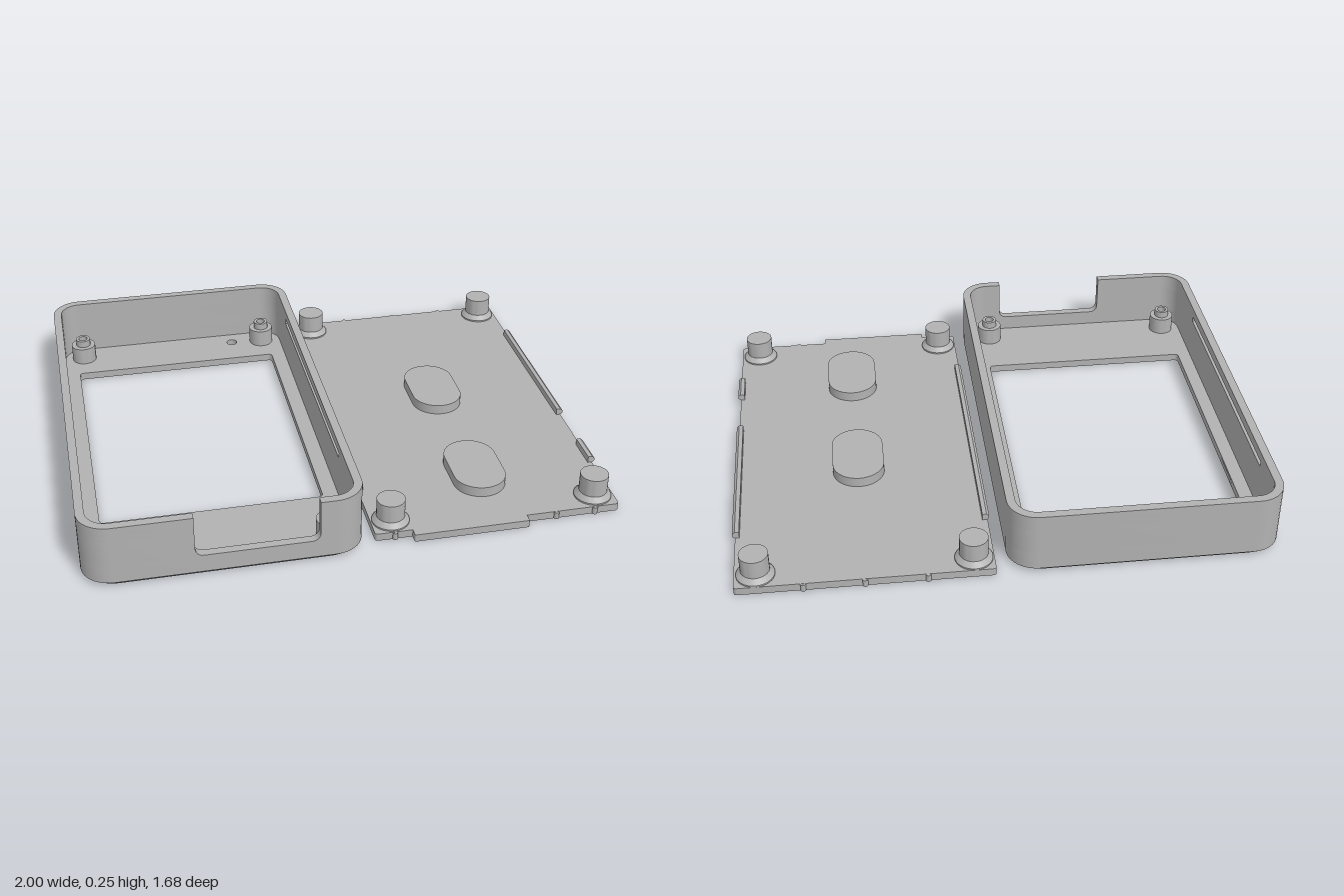
import * as THREE from 'three';
import { toCreasedNormals } from 'three/addons/utils/BufferGeometryUtils.js';

const plastic = new THREE.MeshStandardMaterial({ color: 0xb2b2b2 });
plastic.name = 'greyPlastic';

const V = (x, z) => new THREE.Vector2(x, -z); // plan view point
const ARC = 10;

// Counter-clockwise rounded rectangle in plan, starting at the front right corner
function roundedRect(x0, x1, z0, z1, r) {
  const corners = [[x1 - r, z1 - r], [x1 - r, z0 + r], [x0 + r, z0 + r], [x0 + r, z1 - r]];
  const pts = [];
  corners.forEach(([cx, cz], i) => {
    for (let k = 0; k <= ARC; k++) {
      const a = (i - 1 + k / ARC) * Math.PI / 2;
      pts.push(V(cx + r * Math.cos(a), cz - r * Math.sin(a)));
    }
  });
  return pts;
}

function circle(x, z, r, n = 28) {
  return Array.from({ length: n }, (_, i) => {
    const a = i / n * Math.PI * 2;
    return V(x + r * Math.cos(a), z + r * Math.sin(a));
  });
}

// Plan outline raised from y0 to y1
function slab(outline, holes, y0, y1) {
  const shape = new THREE.Shape(outline);
  holes.forEach(h => shape.holes.push(new THREE.Path(h)));
  const g = new THREE.ExtrudeGeometry(shape, { depth: y1 - y0, bevelEnabled: false });
  return g.rotateX(-Math.PI / 2).translate(0, y0, 0);
}

function add(group, name, geometry, x = 0, y = 0, z = 0) {
  const mesh = new THREE.Mesh(toCreasedNormals(geometry, 0.5), plastic);
  mesh.name = name;
  mesh.position.set(x, y, z);
  group.add(mesh);
}

const lathe = pts => new THREE.LatheGeometry(pts.map(p => new THREE.Vector2(...p)), 32);

function createCase() {
  const g = new THREE.Group();
  g.name = 'caseShell';
  const X0 = -1, X1 = 0.01, Z0 = -0.84, Z1 = 0.835, T = 0.032;
  const cx = (X0 + X1) / 2, cz = (Z0 + Z1) / 2, hx = (X1 - X0) / 2, hz = (Z1 - Z0) / 2;
  const outer = roundedRect(X0, X1, Z0, Z1, 0.11);
  const inner = roundedRect(X0 + T, X1 - T, Z0 + T, Z1 - T, 0.078);
  const openings = [roundedRect(-0.915, -0.08, -0.6, 0.495, 0.015), circle(-0.235, -0.74, 0.022)];

  // Face panel with a chamfered lower edge
  const chamfer = slab(outer, openings, 0, 0.02);
  const p = chamfer.attributes.position;
  for (let i = 0; i < p.count; i++) {
    const dx = p.getX(i) - cx, dz = p.getZ(i) - cz;
    if (p.getY(i) < 0.001 && (Math.abs(dx) > 0.45 || Math.abs(dz) > 0.78)) {
      p.setX(i, cx + dx * (1 - 0.02 / hx));
      p.setZ(i, cz + dz * (1 - 0.02 / hz));
    }
  }
  add(g, 'facePanelChamfer', chamfer);
  add(g, 'facePanel', slab(outer, openings, 0.02, 0.03));

  // Walls, open at the front notch, with a groove along both inner sides
  const N0 = -0.605, N1 = -0.16, notchY = 0.09;
  const grooved = inner.slice();
  const a = -0.565, b = 0.495, depth = 0.015;
  const cut = (x, s, zs, ze) => [V(x, zs), V(x + s * depth, zs), V(x + s * depth, ze), V(x, ze)];
  grooved.splice(3 * (ARC + 1), 0, ...cut(X0 + T, -1, a, b));
  grooved.splice(ARC + 1, 0, ...cut(X1 - T, 1, b, a));
  const openRing = ring => [V(N1, Z1), ...outer, V(N0, Z1), V(N0, Z1 - T), ...ring.slice().reverse(), V(N1, Z1 - T)];
  add(g, 'lowerWall', slab(outer, [inner], 0.03, notchY));
  add(g, 'middleWall', slab(openRing(inner), [], notchY, 0.195));
  add(g, 'groovedWall', slab(openRing(grooved), [], 0.195, 0.217));
  add(g, 'upperWall', slab(openRing(inner), [], 0.217, 0.253));

  // Rounded lower corners of the notch
  const r = 0.03;
  for (const [x, s] of [[N0, 1], [N1, -1]]) {
    const f = new THREE.Shape();
    f.moveTo(x, notchY);
    f.lineTo(x + s * r, notchY);
    for (let k = 1; k <= 6; k++) {
      const t = k / 6 * Math.PI / 2;
      f.lineTo(x + s * r * (1 - Math.sin(t)), notchY + r * (1 - Math.cos(t)));
    }
    add(g, 'notchFillet', new THREE.ExtrudeGeometry(f, { depth: T, bevelEnabled: false }), 0, 0, Z1 - T);
  }

  // Hollow stepped screw bosses
  const boss = [[0.05, 0.03], [0.05, 0.1], [0.03, 0.1], [0.03, 0.128], [0.018, 0.128], [0.018, 0.03]];
  for (const x of [-0.887, -0.105]) for (const z of [-0.73, 0.725]) add(g, 'screwBoss', lathe(boss), x, 0, z);
  return g;
}

function createBackPlate() {
  const g = new THREE.Group();
  g.name = 'backPlate';
  const X0 = 0.055, X1 = 0.99, Z0 = -0.835, Z1 = 0.765, H = 0.03;
  const padX = 0.52, padZ = [-0.135, 0.458];

  // Keyhole: round entry towards the front, narrow slot towards the back
  const keyhole = cz => {
    const pts = [], R = 0.055, w = 0.026, start = Math.asin(w / R);
    for (let k = 0; k <= 24; k++) {
      const t = start + k / 24 * (2 * Math.PI - 2 * start);
      pts.push(V(padX + R * Math.sin(t), cz + 0.055 - R * Math.cos(t)));
    }
    for (let k = 0; k <= 8; k++) {
      const t = Math.PI + k / 8 * Math.PI;
      pts.push(V(padX + w * Math.cos(t), cz - 0.06 + w * Math.sin(t)));
    }
    return pts;
  };
  add(g, 'plate', slab(roundedRect(X0, X1, Z0, Z1, 0.012), padZ.map(keyhole), 0, H));
  add(g, 'notchTab', slab(roundedRect(0.195, 0.63, Z1 - 0.01, 0.798, 0.004), [], 0, H));

  // Hollow oval pads over the keyholes
  for (const z of padZ) {
    const oval = (r, l) => roundedRect(padX - r, padX + r, z - l, z + l, r - 0.0005);
    add(g, 'padWall', slab(oval(0.1, 0.163), [oval(0.075, 0.138)], H, 0.056));
    add(g, 'padTop', slab(oval(0.1, 0.163), [], 0.056, 0.07));
  }

  // Corner posts with flared feet
  const post = [[0, 0.004], [0.07, 0.004], [0.07, 0.036], [0.053, 0.055], [0.053, 0.126], [0, 0.126]];
  for (const x of [0.13, 0.912]) for (const z of [-0.765, 0.69]) add(g, 'cornerPost', lathe(post), x, 0, z);

  // Snap ridges along the long edges
  const ridge = (x, s, z0, z1) => {
    const pts = [[-0.016, 0.028], [0, 0.028], [0.01, 0.037], [0.01, 0.047], [0, 0.056], [-0.016, 0.056]];
    const shape = new THREE.Shape(pts.map(([u, y]) => new THREE.Vector2(x + s * u, y)));
    add(g, 'snapRidge', new THREE.ExtrudeGeometry(shape, { depth: z1 - z0, bevelEnabled: false }), 0, 0, z0);
  };
  ridge(X0 + 0.004, -1, -0.555, 0.485);
  ridge(X1, 1, -0.555, 0.13);
  ridge(X1, 1, 0.355, 0.485);

  // Small friction bumps on the short edges
  const bump = (x, z) => add(g, 'edgeBump', new THREE.CylinderGeometry(0.01, 0.01, H - 0.002, 12), x, H / 2, z);
  [0.3, 0.525, 0.745].forEach(x => bump(x, Z0));
  [0.13, 0.745, 0.895].forEach(x => bump(x, Z1));
  return g;
}

export function createModel() {
  const model = new THREE.Group();
  model.name = 'enclosure';
  model.add(createCase(), createBackPlate());
  return model;
}
